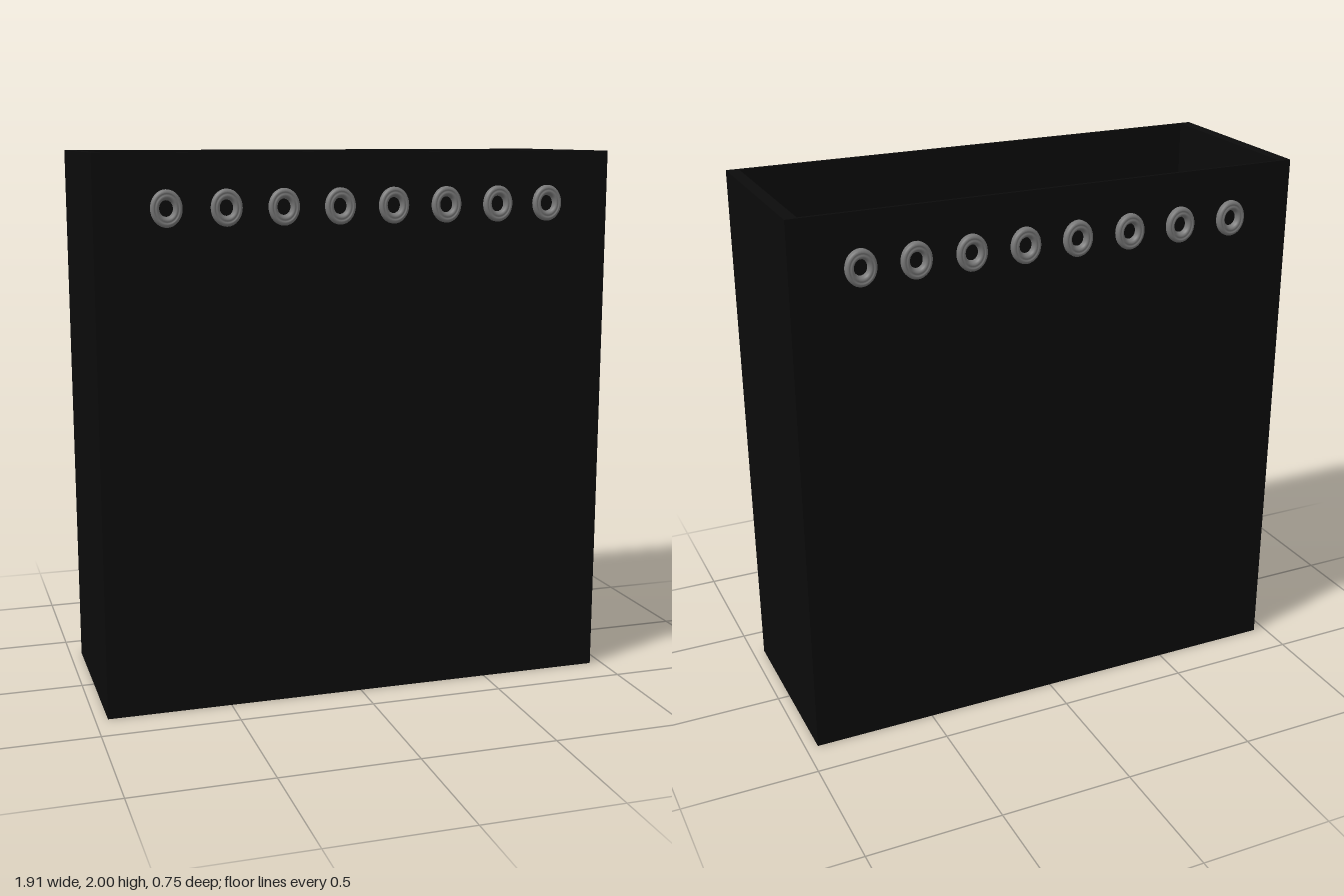
import * as THREE from 'three';

const W = 1.91, H = 2, D = 0.71;      // outer size of the open bag
const SIDE = 0.045, SKIN = 0.012;     // side wall and front/back thickness

export function createModel() {
  const model = new THREE.Group();
  const black = new THREE.MeshStandardMaterial({ color: 0x0b0b0b });
  const metal = new THREE.MeshStandardMaterial({ color: 0x777777, side: THREE.DoubleSide });

  const panel = (name, w, h, d, x, y, z) => {
    const mesh = new THREE.Mesh(new THREE.BoxGeometry(w, h, d), black);
    mesh.name = name;
    mesh.position.set(x, y, z);
    model.add(mesh);
  };

  // Open-topped body
  panel('floor', W - 2 * SIDE, SKIN, D - 2 * SKIN, 0, SKIN / 2, 0);
  panel('frontPanel', W, H, SKIN, 0, H / 2, (D - SKIN) / 2);
  panel('backPanel', W, H, SKIN, 0, H / 2, -(D - SKIN) / 2);
  for (const s of [-1, 1]) {
    panel(s > 0 ? 'leftPanel' : 'rightPanel', SIDE, H, D - 2 * SKIN, s * (W - SIDE) / 2, H / 2, 0);
  }

  // Oval eyelet: stepped ring, [radius, height above the panel]
  const profile = [
    [0.065, 0], [0.065, 0.012], [0.062, 0.018], [0.056, 0.021],
    [0.051, 0.021], [0.048, 0.017], [0.045, 0.021], [0.038, 0.021],
    [0.034, 0.016], [0.030, 0.010], [0.028, 0],
  ].map(([r, y]) => new THREE.Vector2(r, y));
  const ring = new THREE.LatheGeometry(profile, 32).rotateX(Math.PI / 2).scale(0.85, 1, 1);
  const xs = [-0.705, -0.495, -0.29, -0.085, 0.115, 0.315, 0.515, 0.71];

  // One row of eyelets on each broad face
  for (const s of [1, -1]) {
    const row = new THREE.Group();
    row.name = s > 0 ? 'frontEyelets' : 'backEyelets';
    for (const x of xs) {
      const eyelet = new THREE.Mesh(ring, metal);
      eyelet.name = 'eyelet';
      eyelet.position.set(x, 1.812, s * D / 2);
      if (s < 0) eyelet.rotation.y = Math.PI;
      row.add(eyelet);
    }
    model.add(row);
  }
  return model;
}
